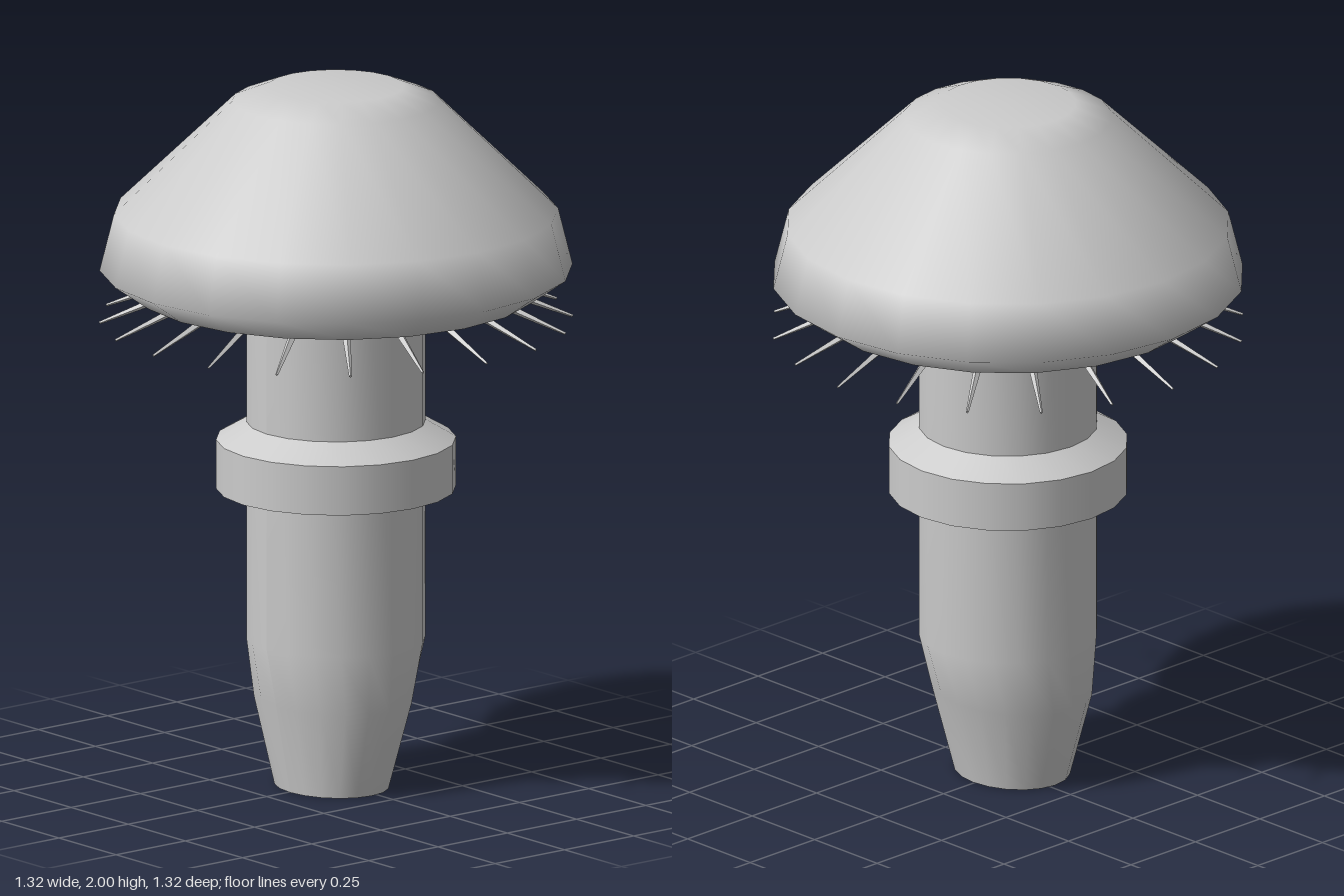
import * as THREE from 'three';

const SIDES = 20;
const material = new THREE.MeshStandardMaterial({ color: 0xcccccc });
const flatMaterial = new THREE.MeshStandardMaterial({ color: 0xcccccc, flatShading: true });

function add(parent, name, geometry, mat = material) {
  const mesh = new THREE.Mesh(geometry, mat);
  mesh.name = name;
  parent.add(mesh);
  return mesh;
}

// Profile points are [radius, y]; each lathe is smooth, so hard edges split into separate lathes
function lathe(points) {
  return new THREE.LatheGeometry(points.map(([r, y]) => new THREE.Vector2(r, y)), SIDES);
}

// Stem as stacked rings: [y, centre x, centre z, radius x, radius z]
function stemGeometry(rings) {
  const geometry = lathe(rings.map(([y]) => [1, y]));
  const pos = geometry.attributes.position;
  for (let i = 0; i < pos.count; i++) {
    const [y, cx, cz, rx, rz] = rings[i % rings.length];
    pos.setXYZ(i, cx + rx * pos.getX(i), y, cz + rz * pos.getZ(i));
  }
  geometry.computeVertexNormals();
  return geometry;
}

export function createModel() {
  const model = new THREE.Group();
  model.name = 'mushroom';

  // Cap: domed outside and hollow underside
  const cap = new THREE.Group();
  cap.name = 'cap';
  model.add(cap);
  add(cap, 'capDome', lathe([[0.56, 1.41], [0.66, 1.48], [0.62, 1.64], [0.29, 1.96], [0.19, 2], [0, 2]]));
  add(cap, 'capUnderside', lathe([[0, 1.55], [0.25, 1.55], [0.46, 1.5], [0.56, 1.41]]));

  // Stem, tapering to an off-centre foot
  add(model, 'stem', stemGeometry([
    [0, 0.005, 0.02, 0.175, 0.15],
    [0.25, 0, 0.012, 0.248, 0.203],
    [0.42, 0, 0, 0.25, 0.25],
    [1.56, 0, 0, 0.25, 0.25],
  ]));
  const foot = add(model, 'foot', new THREE.CircleGeometry(1, SIDES));
  foot.rotation.x = Math.PI / 2;
  foot.scale.set(0.175, 0.15, 1);
  foot.position.set(0.005, 0, 0.02);

  // Collar around the stem
  const collar = new THREE.Group();
  collar.name = 'collar';
  model.add(collar);
  add(collar, 'collarUnderside', lathe([[0.24, 0.85], [0.335, 0.85]]));
  add(collar, 'collarBand', lathe([[0.335, 0.85], [0.335, 0.99]]));
  add(collar, 'collarBevel', lathe([[0.335, 0.99], [0.25, 1.04]]));

  // Gill spikes radiating from the top of the stem
  const gills = new THREE.Group();
  gills.name = 'gills';
  model.add(gills);
  const root = new THREE.Vector3(0.24, 1.495, 0);
  const tip = new THREE.Vector3(0.66, 1.33, 0);
  const along = tip.clone().sub(root);
  const spike = new THREE.CylinderGeometry(0.004, 0.022, along.length(), 4);
  spike.applyQuaternion(new THREE.Quaternion().setFromUnitVectors(
    new THREE.Vector3(0, 1, 0), along.normalize()));
  const middle = root.add(tip).multiplyScalar(0.5);
  spike.translate(middle.x, middle.y, 0);
  for (let i = 0; i < SIDES; i++) {
    add(gills, 'gillSpike', spike, flatMaterial).rotation.y = (i / SIDES) * Math.PI * 2;
  }

  return model;
}
